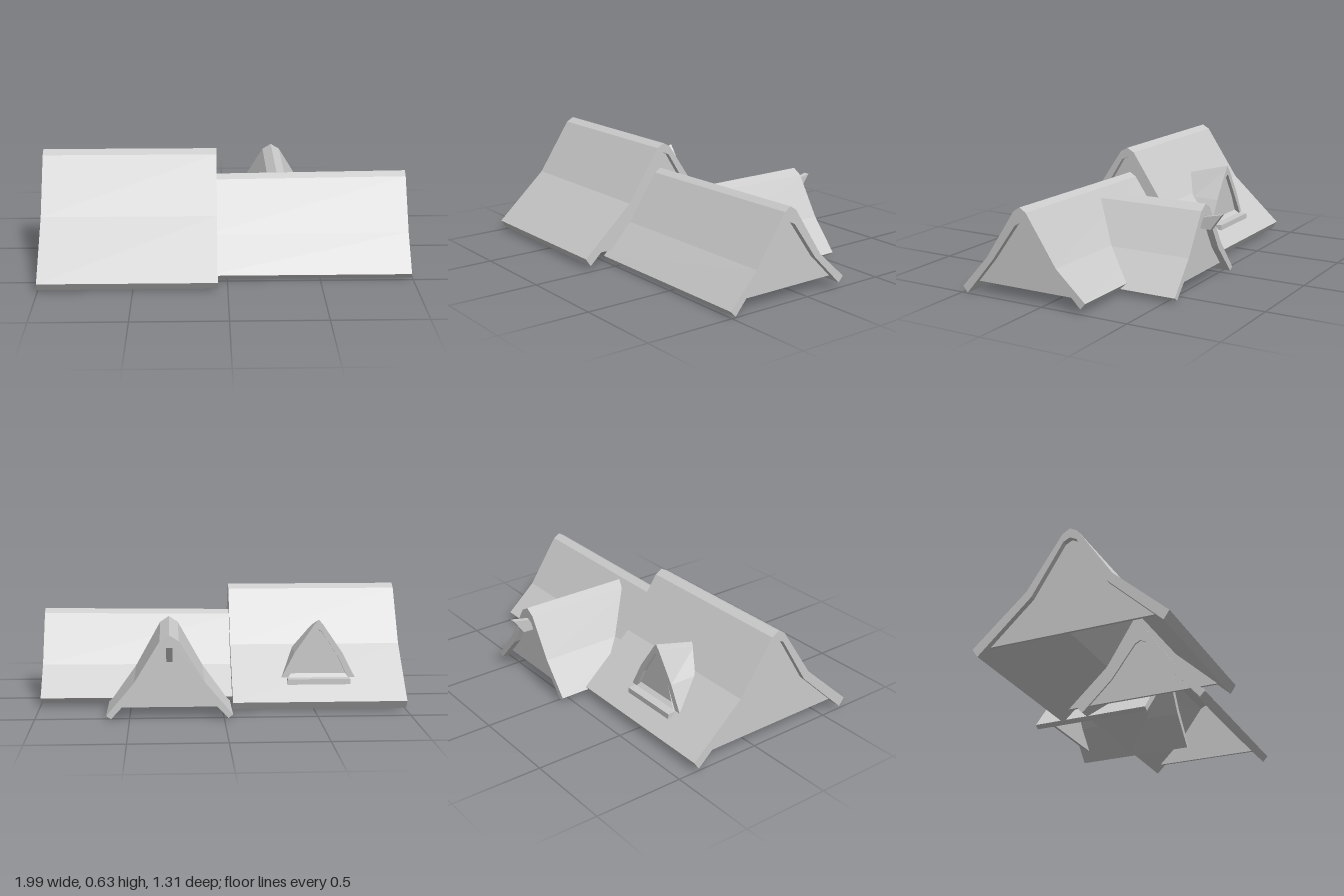
import * as THREE from 'three';

const material = new THREE.MeshStandardMaterial({ color: 0xcccccc, flatShading: true, side: THREE.DoubleSide });

// Half profiles run from the ridge to the eave as [distance from ridge line, height]
const mirrored = (half) => [...half.slice(1).reverse().map(([u, y]) => [-u, y]), ...half];
const toShape = (pts) => new THREE.Shape(pts.map(([u, y]) => new THREE.Vector2(u, y)));
const bandShape = (outer, inner) => toShape([...mirrored(outer), ...mirrored(inner).reverse()]);

// Gable outline: the middle of the roof band, cut level at the given height
function gableShape(outer, inner, bottom) {
  const mid = outer.map(([u, y], i) => [(u + inner[i][0]) / 2, (y + inner[i][1]) / 2]);
  const [a, b] = mid.slice(-2);
  const t = (bottom - a[1]) / (b[1] - a[1]);
  const foot = [a[0] + (b[0] - a[0]) * t, bottom];
  return toShape(mirrored([...mid.slice(0, -1), foot]));
}

const extrude = (shape, depth) => new THREE.ExtrudeGeometry(shape, { depth, bevelEnabled: false });

// Extrusion between two x positions, ridge at z = RIDGE_Z
const RIDGE_Z = 0.125;
const alongX = (shape, x0, x1) => extrude(shape, x1 - x0).rotateY(Math.PI / 2).translate(x0, 0, RIDGE_Z);
// Extrusion between two z positions, ridge at the given x
const alongZ = (shape, z0, z1, x) => extrude(shape, z1 - z0).translate(x, 0, z0);

function moveVertices(geometry, rule) {
  const p = geometry.attributes.position;
  const v = new THREE.Vector3();
  for (let i = 0; i < p.count; i++) {
    rule(v.fromBufferAttribute(p, i));
    p.setXYZ(i, v.x, v.y, v.z);
  }
  geometry.computeVertexNormals();
  return geometry;
}

export function createModel() {
  const model = new THREE.Group();
  const add = (name, geometry) => {
    const mesh = new THREE.Mesh(geometry, material);
    mesh.name = name;
    model.add(mesh);
    return mesh;
  };

  // Tall main roof
  const tallOuter = [[0, 0.633], [0.042, 0.61], [0.236, 0.322], [0.53, 0.057]];
  const tallInner = [[0, 0.58], [0.036, 0.562], [0.208, 0.285], [0.5, 0.012]];
  add('tallRoof', alongX(bandShape(tallOuter, tallInner), -1, -0.053));
  const tallGable = gableShape(tallOuter, tallInner, 0.065);
  add('tallRoofOuterGable', alongX(tallGable, -0.97, -0.955));
  add('tallRoofInnerGable', alongX(tallGable, -0.1, -0.085));

  // Lower roof, its ridge rising slightly outward and its back eave a little higher
  const lowOuter = [[0, 0.499], [0.037, 0.476], [0.213, 0.212], [0.375, 0.033]];
  const lowInner = [[0, 0.418], [0.031, 0.402], [0.178, 0.2], [0.346, 0.001]];
  const lowRoof = alongX(bandShape(lowOuter, lowInner), -0.11, 0.993);
  add('lowRoof', moveVertices(lowRoof, (v) => {
    v.y *= 1 - 0.024 * (0.993 - v.x);
    if (v.z < -0.15 && v.y < 0.1) {
      v.y += 0.025;
      v.z -= 0.008;
    }
  }));
  add('lowRoofGable', alongX(gableShape(lowOuter, lowInner, 0.065), 0.945, 0.96));

  // Rear wing crossing the lower roof
  const wingX = 0.288;
  const wingOuter = [[0, 0.455], [0.05, 0.425], [0.185, 0.205], [0.333, 0.03]];
  const wingInner = [[0, 0.395], [0.035, 0.378], [0.158, 0.175], [0.308, 0.012]];
  add('wingRoof', alongZ(bandShape(wingOuter, wingInner), -0.555, 0.125, wingX));
  add('wingGable', alongZ(gableShape(wingOuter, wingInner, 0.065), -0.515, -0.5, wingX));

  // Pointed beam under the wing ridge
  const beam = toShape([[-0.5, 0.322], [-0.5, 0.38], [-0.555, 0.387], [-0.655, 0.408], [-0.592, 0.322]]);
  add('ridgeBeam', extrude(beam, 0.032).rotateY(-Math.PI / 2).translate(wingX + 0.016, 0, 0));

  // Dormer: its ridge dips inward and every edge ends on the tall roof's back slope
  const dormerX = -0.527;
  const dormerOuter = [[0, 0.487], [0.022, 0.462], [0.13, 0.305], [0.203, 0.165]];
  const dormerInner = [[0, 0.432], [0.016, 0.422], [0.105, 0.285], [0.172, 0.15]];
  const slopeZ = (y) => (y > 0.322 ? -0.111 + (y - 0.322) * 0.674 : -0.405 + (y - 0.057) * 1.11);
  const dormer = alongZ(bandShape(dormerOuter, dormerInner), -0.283, -0.04, dormerX);
  add('dormerRoof', moveVertices(dormer, (v) => {
    if (v.z < -0.2) return;
    v.y -= 0.063 * Math.max(0, (v.y - 0.305) / 0.182);
    v.z = slopeZ(v.y) + 0.008;
  }));
  add('dormerGable', alongZ(gableShape(dormerOuter, dormerInner, 0.16), -0.262, -0.25, dormerX));
  add('dormerSill', new THREE.BoxGeometry(0.342, 0.03, 0.07)).position.set(dormerX, 0.152, -0.298);

  return model;
}
